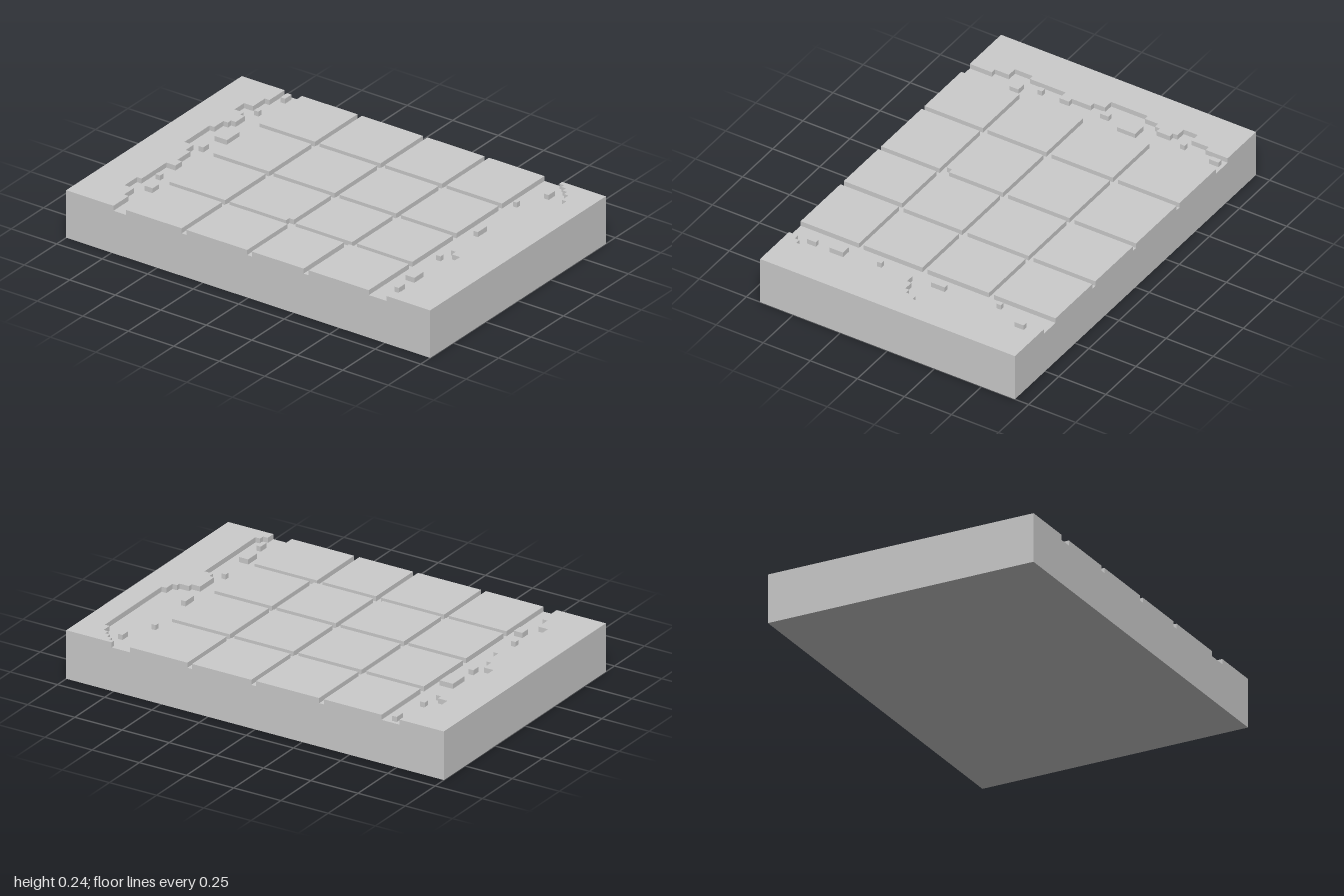
import * as THREE from 'three';

const FLOOR = 0.215, TOP = 0.24, HALF_Z = 0.677;
const material = new THREE.MeshStandardMaterial({ color: 0xcccccc, flatShading: true });

// Raised slab with a plan outline given as [x, z] points
function slab(name, points) {
  const shape = new THREE.Shape(points.map(([x, z]) => new THREE.Vector2(x, z)));
  const geometry = new THREE.ExtrudeGeometry(shape, { depth: TOP - FLOOR, bevelEnabled: false });
  geometry.rotateX(Math.PI / 2).translate(0, TOP, 0);
  const mesh = new THREE.Mesh(geometry, material);
  mesh.name = name;
  return mesh;
}

const rect = (x0, x1, z0, z1) => [[x0, z0], [x1, z0], [x1, z1], [x0, z1]];

// Raised bank with a stepped inner edge; each step is [x, z where it ends]
function bank(name, outerX, steps) {
  const points = [[outerX, -HALF_Z]];
  let z = -HALF_Z;
  for (const [x, zEnd] of steps) {
    points.push([x, z], [x, zEnd]);
    z = zEnd;
  }
  points.push([outerX, HALF_Z]);
  return slab(name, points);
}

export function createModel() {
  const model = new THREE.Group();
  model.name = 'pavedRoadTile';

  // Solid base up to the bottom of the grooves
  const base = new THREE.Mesh(new THREE.BoxGeometry(2, FLOOR, HALF_Z * 2), material);
  base.position.y = FLOOR / 2;
  base.name = 'base';
  model.add(base);

  // Uneven banks along both sides
  model.add(bank('rightBank', -1, [
    [-0.765, -0.56], [-0.79, -0.47], [-0.84, -0.395], [-0.79, -0.37], [-0.765, -0.3],
    [-0.79, -0.275], [-0.815, -0.205], [-0.84, -0.01], [-0.79, 0.05], [-0.765, 0.15],
    [-0.74, 0.2], [-0.79, 0.39], [-0.815, 0.485], [-0.765, 0.56], [-0.74, HALF_Z],
  ]));
  model.add(bank('leftBank', 1, [
    [0.76, -0.655], [0.785, -0.635], [0.81, -0.61], [0.835, -0.585], [0.86, -0.535],
    [0.885, -0.06], [0.86, -0.01], [0.835, 0.01], [0.785, 0.033], [0.74, 0.15],
    [0.765, 0.18], [0.81, 0.605], [0.785, 0.63], [0.76, HALF_Z],
  ]));

  // Paving slabs, four by four
  const columns = [[-0.67, -0.365], [-0.34, -0.005], [0.02, 0.333], [0.358, 0.663]];
  const rows = [[-HALF_Z, -0.35], [-0.323, 0.003], [0.03, 0.342], [0.367, HALF_Z]];
  const paving = new THREE.Group();
  paving.name = 'paving';
  rows.forEach(([z0, z1], r) => columns.forEach(([x0, x1], c) => {
    let outline = rect(x0, x1, z0, z1);
    // One chipped corner, and one joint shifted sideways in the front row
    if (r === 2 && c === 1) {
      outline = [[x0, z0], [x1, z0], [x1, z1 - 0.025], [x1 - 0.025, z1 - 0.025], [x1 - 0.025, z1], [x0, z1]];
    }
    if (r === 3 && c === 2) outline = rect(x0, 0.305, z0, z1);
    if (r === 3 && c === 3) outline = rect(0.333, x1, z0, z1);
    paving.add(slab('pavingSlab', outline));
  }));
  model.add(paving);

  // Loose stones in the gutters: x0, x1, z0, z1
  const stones = [
    [-0.74, -0.715, -0.66, -0.61], [-0.765, -0.74, -0.465, -0.44], [-0.765, -0.695, -0.23, -0.135],
    [-0.765, -0.74, -0.06, -0.015], [-0.765, -0.74, 0.293, 0.318], [-0.74, -0.695, 0.39, 0.438],
    [0.76, 0.785, -0.585, -0.538], [0.69, 0.712, -0.418, -0.395], [0.712, 0.735, -0.134, -0.062],
    [0.712, 0.735, 0.202, 0.226], [0.712, 0.76, 0.39, 0.462], [0.737, 0.76, 0.534, 0.582],
  ];
  const gutterStones = new THREE.Group();
  gutterStones.name = 'gutterStones';
  for (const s of stones) gutterStones.add(slab('stone', rect(...s)));
  model.add(gutterStones);

  return model;
}
